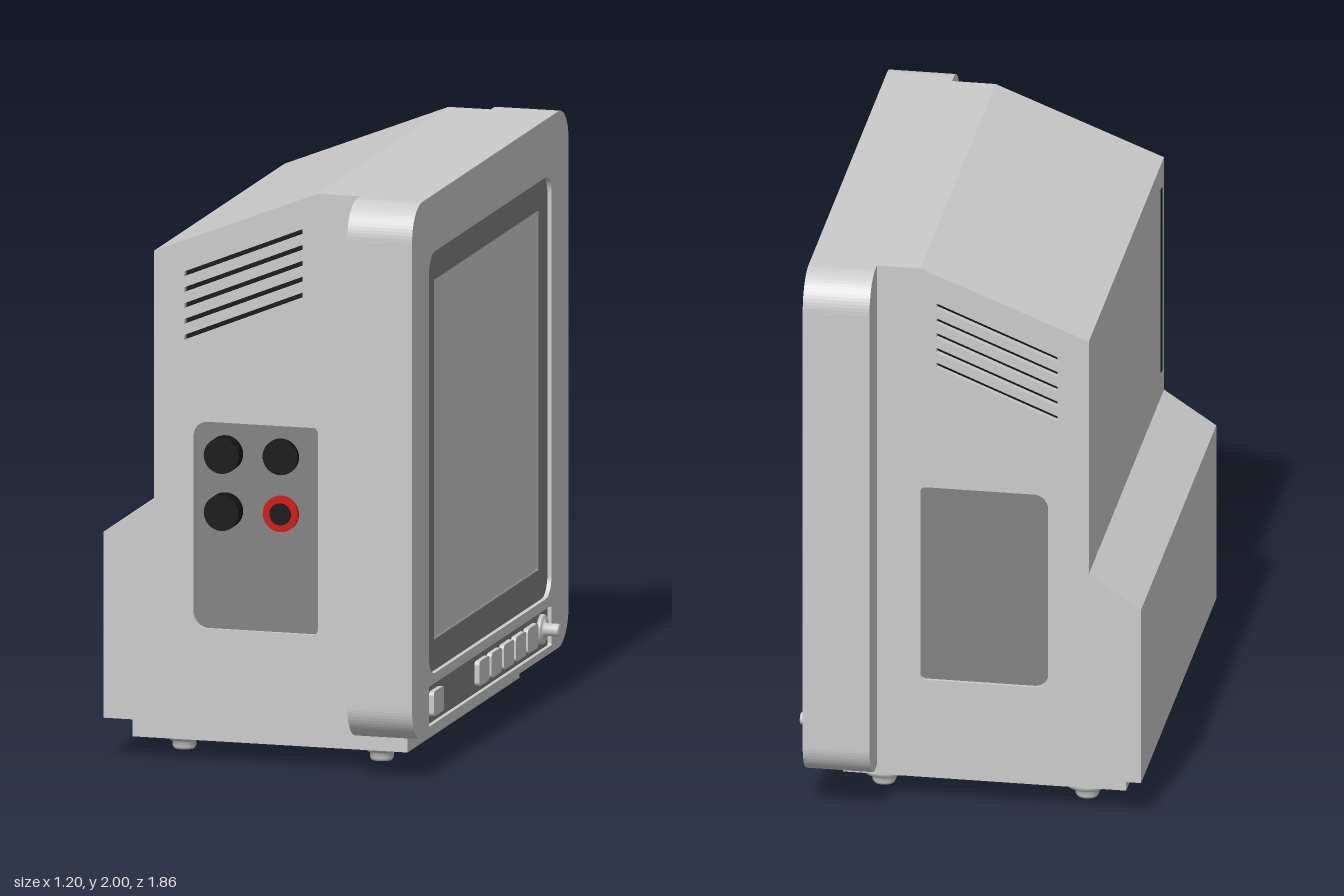
import * as THREE from 'three';

const mat = (color) => new THREE.MeshStandardMaterial({ color });
const grey = mat(0xcccccc), dark = mat(0x828282), black = mat(0x141414), red = mat(0xd01410);

// Rounded rectangle; rl and rr are the radii of the left and right corners
function rounded(path, x0, x1, y0, y1, rl, rr = rl) {
  path.moveTo(x0 + rl, y0);
  path.lineTo(x1 - rr, y0);
  path.absarc(x1 - rr, y0 + rr, rr, -Math.PI / 2, 0);
  path.lineTo(x1, y1 - rr);
  path.absarc(x1 - rr, y1 - rr, rr, 0, Math.PI / 2);
  path.lineTo(x0 + rl, y1);
  path.absarc(x0 + rl, y1 - rl, rl, Math.PI / 2, Math.PI);
  path.lineTo(x0, y0 + rl);
  path.absarc(x0 + rl, y0 + rl, rl, Math.PI, Math.PI * 1.5);
  return path;
}
const rect = (...a) => rounded(new THREE.Shape(), ...a);
const hole = (...a) => rounded(new THREE.Path(), ...a);

const extrude = (shape, depth) =>
  new THREE.ExtrudeGeometry(shape, { depth, bevelEnabled: false, curveSegments: 8 });

export function createModel() {
  const model = new THREE.Group();
  const add = (name, geo, material, x = 0, y = 0, z = 0) => {
    const mesh = new THREE.Mesh(geo, material);
    mesh.name = name;
    mesh.position.set(x, y, z);
    model.add(mesh);
    return mesh;
  };
  // Extrusion standing on the z axis, from z0 to z1
  const alongZ = (name, shape, z0, z1, m) => add(name, extrude(shape, z1 - z0), m, 0, 0, z0);
  // Extrusion towards the screen side (+x); shape x becomes -z
  const alongX = (name, shape, x0, x1, m) =>
    add(name, extrude(shape, x1 - x0).rotateY(Math.PI / 2), m, x0);

  // Housing: a core with a skin on each side that carries the cut-outs
  const profile = () => new THREE.Shape([
    [-0.6, 0.14], [0.315, 0.14], [0.315, 2], [0.16, 2], [-0.42, 1.77], [-0.42, 0.905], [-0.6, 0.785],
  ].map(([x, y]) => new THREE.Vector2(x, y)));
  const W = 0.778, skin = 0.03, core = W - skin;
  alongZ('housingCore', profile(), -core, core, grey);

  const slot = (i, Type) => {
    const y0 = 1.686 - i * 0.055, y1 = y0 + 0.17, t = 0.018;
    return new Type([[-0.312, y0], [0.105, y1], [0.105, y1 + t], [-0.312, y0 + t]]
      .map(([x, y]) => new THREE.Vector2(x, y)));
  };
  const skinShape = profile();
  skinShape.holes.push(hole(-0.28, 0.16, 0.47, 1.187, 0.05, 0.018));
  for (let i = 0; i < 5; i++) skinShape.holes.push(slot(i, THREE.Path));

  for (const s of [1, -1]) {
    const layer = (name, shape, a, b, m) =>
      alongZ(name, shape, Math.min(s * a, s * b), Math.max(s * a, s * b), m);
    layer('sideSkin', skinShape, core, W, grey);
    layer('sidePanel', rect(-0.28, 0.16, 0.47, 1.187, 0.05, 0.018), core, W - 0.012, dark);
    for (let i = 0; i < 5; i++) layer('ventSlot', slot(i, THREE.Shape), core, core + 0.01, black);
  }

  // Narrow slit in the rear face
  add('rearSlit', new THREE.BoxGeometry(0.006, 0.68, 0.02), black, -0.42, 1.34, 0.715);

  // Sockets on the side panel
  const disc = (r, h) => new THREE.CylinderGeometry(r, r, h, 32).rotateX(Math.PI / 2);
  const socket = (name, x, y, r, z1, m) =>
    add(name, disc(r, z1 - core), m, x, y, (z1 + core) / 2);
  socket('socketUpperLeft', -0.17, 1.08, 0.062, 0.82, black);
  socket('socketLowerLeft', -0.17, 0.882, 0.062, 0.82, black);
  socket('socketUpperRight', 0.028, 1.08, 0.062, 0.785, black);
  socket('redSocketRing', 0.028, 0.882, 0.062, 0.782, red);
  socket('redSocketHole', 0.028, 0.882, 0.038, 0.785, black);

  // Front frame with pockets for the screen and the control strip
  const faceX = 0.54, pocketX = 0.5;
  const face = rect(-0.932, 0.932, 0.14, 2, 0.12);
  alongX('bezelBack', face.clone(), 0.31, pocketX, grey);
  face.holes.push(hole(-0.73, 0.73, 0.338, 1.8, 0.07), hole(-0.73, 0.73, 0.165, 0.303, 0.008));
  alongX('bezelFront', face, pocketX, faceX, grey);

  const surround = rect(-0.73, 0.73, 0.338, 1.8, 0.07);
  surround.holes.push(hole(-0.622, 0.622, 0.445, 1.692, 0.002));
  alongX('screenSurround', surround, pocketX, 0.525, dark);
  alongX('screen', rect(-0.622, 0.622, 0.445, 1.692, 0.002), pocketX, 0.512, grey);

  // Control strip with buttons and a knob
  alongX('controlStrip', rect(-0.73, 0.73, 0.165, 0.303, 0.008), pocketX, 0.526, dark);
  for (const u of [-0.622, -0.08, 0.066, 0.212, 0.355, 0.5])
    alongX('button', rect(u - 0.061, u + 0.061, 0.19, 0.276, 0.015), 0.52, 0.543, grey);
  const knob = [[0, 0], [0.052, 0], [0.052, 0.016], [0.046, 0.022], [0.022, 0.022],
    [0.022, 0.071], [0.018, 0.075], [0, 0.075]];
  const lathe = (pts) => new THREE.LatheGeometry(pts.map(([r, h]) => new THREE.Vector2(r, h)), 24);
  add('knob', lathe(knob).rotateZ(-Math.PI / 2), grey, 0.52, 0.236, -0.645);

  // Base plate and feet
  add('basePlate', new THREE.BoxGeometry(0.975, 0.085, 1.335), grey, -0.043, 0.1005, 0);
  const foot = [[0, 0.012], [0.018, 0.012], [0.02, 0.002], [0.036, 0.002], [0.041, 0.012],
    [0.041, 0.03], [0.05, 0.032], [0.05, 0.04], [0.07, 0.042], [0.07, 0.06], [0, 0.06]];
  for (const x of [-0.385, 0.315])
    for (const z of [0.535, -0.595]) add('foot', lathe(foot), grey, x, 0, z);

  return model;
}
